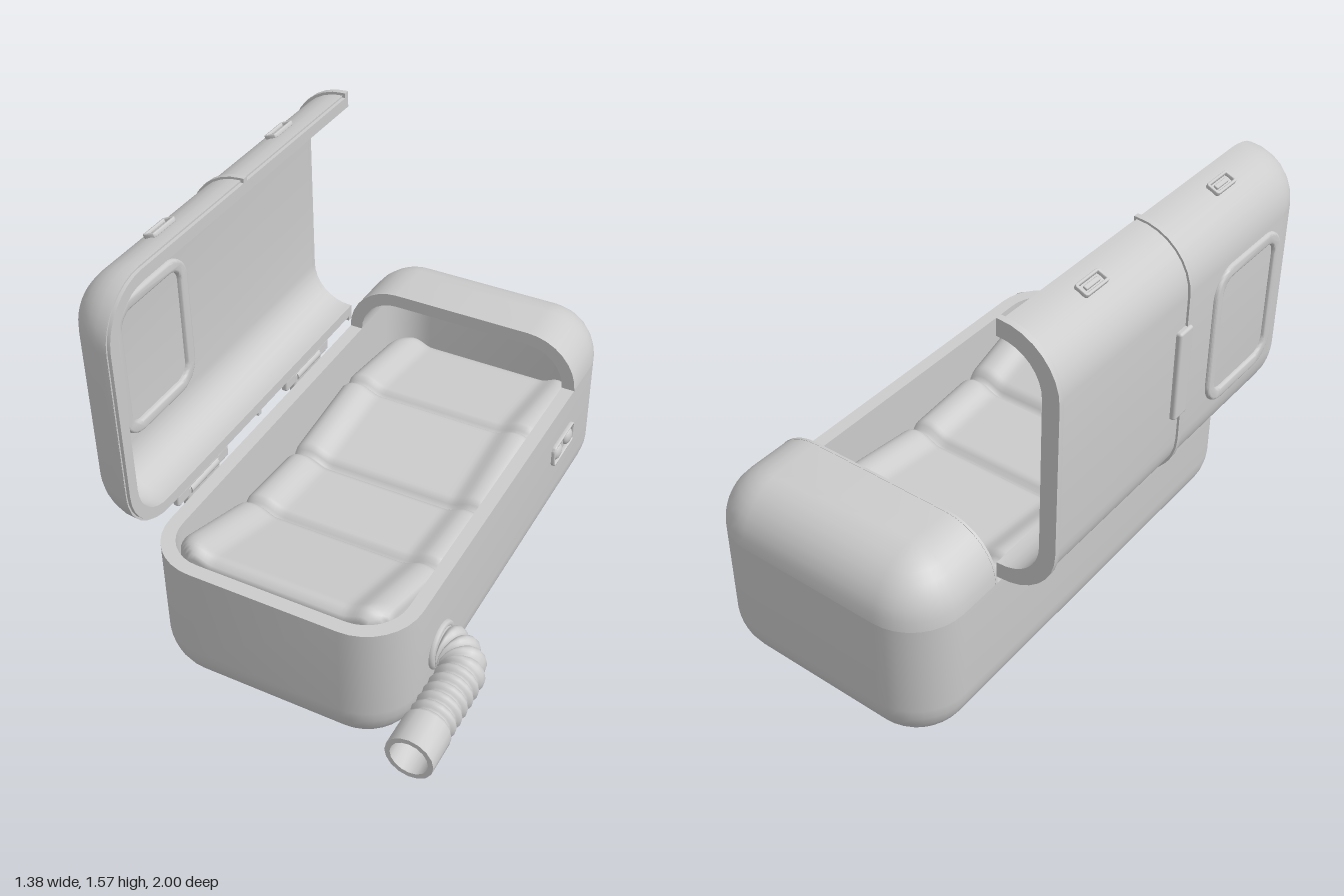
import * as THREE from 'three';
import { toCreasedNormals } from 'three/addons/utils/BufferGeometryUtils.js';
import { RoundedBoxGeometry } from 'three/addons/geometries/RoundedBoxGeometry.js';

const mat = new THREE.MeshStandardMaterial({ color: 0xcccccc });
const matTwo = new THREE.MeshStandardMaterial({ color: 0xcccccc, side: THREE.DoubleSide });
const N = 8, R = 0.2, WALL = 0.05, SPLIT = -0.63;

function add(parent, name, geo, x = 0, y = 0, z = 0, m = mat) {
  const mesh = new THREE.Mesh(geo, m);
  mesh.name = name;
  mesh.position.set(x, y, z);
  parent.add(mesh);
  return mesh;
}

// Plan outline at a given inset: a U around the +z end, or a full rounded rectangle
function outline(hx, z0, z1, d, closed) {
  const r = Math.max(R - d, 0), x = hx - d - r, pts = [];
  const corner = (cx, cz, a0) => {
    for (let i = 0; i <= N; i++) {
      const a = a0 + (i / N) * Math.PI / 2;
      pts.push([cx + r * Math.cos(a), cz + r * Math.sin(a)]);
    }
  };
  if (!closed) pts.push([hx - d, z0]);
  corner(x, z1 - d - r, 0);
  corner(-x, z1 - d - r, Math.PI / 2);
  if (closed) {
    corner(-x, z0 + d + r, Math.PI);
    corner(x, z0 + d + r, 1.5 * Math.PI);
    pts.push(pts[0]);
  } else pts.push([-(hx - d), z0]);
  return pts;
}

// Skin over layers of [inset, y, collapseToCentreLine]
function layered(hx, z0, z1, layers, closed) {
  const pos = [], idx = [];
  let n = 0;
  layers.forEach(([d, y, fill]) => {
    const ring = outline(hx, z0, z1, d, closed);
    n = ring.length;
    ring.forEach(([x, z]) => pos.push(fill ? 0 : x, y, z));
  });
  for (let i = 0; i < layers.length - 1; i++)
    for (let j = 0; j < n - 1; j++) {
      const a = i * n + j, b = a + 1, c = b + n, e = a + n;
      idx.push(a, b, c, a, c, e);
    }
  const g = new THREE.BufferGeometry();
  g.setAttribute('position', new THREE.Float32BufferAttribute(pos, 3));
  g.setIndex(idx);
  return toCreasedNormals(g, 0.6);
}

// Domed half shell, open at z0, rounded at z1
function dome(hx, h, z0, z1, lip) {
  const outer = [[R, h, true]], inner = [];
  for (let i = 0; i <= N; i++) {
    const a = (i / N) * Math.PI / 2, r = R - WALL;
    outer.push([R * (1 - Math.sin(a)), h - R + R * Math.cos(a)]);
    inner.unshift([R - r * Math.sin(a), h - R + r * Math.cos(a)]);
  }
  if (lip) outer.push([0, 0.012], [lip, 0.012], [lip, 0]);
  return layered(hx, z0, z1, [...outer, [WALL, 0], ...inner, [R, h - WALL, true]], false);
}

// Arch-shaped band following the dome's cross-section
function archBand(hx, h, grow, wall, depth) {
  const arch = (o) => {
    const pts = [new THREE.Vector2(hx + o, 0)];
    for (const s of [1, -1])
      for (let i = 0; i <= N; i++) {
        const a = (s > 0 ? i : N - i) / N * Math.PI / 2;
        pts.push(new THREE.Vector2(s * (hx - R + (R + o) * Math.cos(a)), h - R + (R + o) * Math.sin(a)));
      }
    pts.push(new THREE.Vector2(-hx - o, 0));
    return pts;
  };
  const shape = new THREE.Shape([...arch(grow), ...arch(-wall).reverse()]);
  return toCreasedNormals(new THREE.ExtrudeGeometry(shape, { depth, bevelEnabled: false }), 0.6);
}

// Rounded rectangular frame lying flat, thickness along y
function frame(w, l, r, bar, depth, bevel) {
  const trace = (p, w, l, r) => {
    p.moveTo(w, l - r);
    [[1, 1], [-1, 1], [-1, -1], [1, -1]].forEach(([sx, sy], i) =>
      p.absarc(sx * (w - r), sy * (l - r), r, i * Math.PI / 2, (i + 1) * Math.PI / 2));
    return p;
  };
  const shape = trace(new THREE.Shape(), w - bevel, l - bevel, r);
  shape.holes.push(trace(new THREE.Path(), w - bar + bevel, l - bar + bevel, Math.max(r - bar * 0.6, 0.003)));
  const g = new THREE.ExtrudeGeometry(shape, {
    depth: depth - 2 * bevel, bevelThickness: bevel, bevelSize: bevel, bevelSegments: 3, curveSegments: 6 });
  g.translate(0, 0, bevel).rotateX(-Math.PI / 2);
  return toCreasedNormals(g, 0.6);
}

// Contoured mattress: reclined height curve, side bolsters, seams and rounded edges
function mattress() {
  const z0 = -0.93, z1 = 0.79, hx = 0.41;
  const g = new THREE.PlaneGeometry(2 * hx, z1 - z0, 56, 150).rotateX(-Math.PI / 2);
  g.translate(0, 0, (z0 + z1) / 2);
  const keys = [[-0.93, 0.39], [-0.45, 0.46], [-0.02, 0.41], [0.33, 0.44], [0.74, 0.58], [0.8, 0.58]];
  const seams = [-0.45, -0.02, 0.33];
  const p = g.attributes.position;
  for (let i = 0; i < p.count; i++) {
    const x = p.getX(i), z = p.getZ(i), rc = 0.12;
    const k = Math.max(1, keys.findIndex(([kz]) => kz >= z));
    const [[za, ya], [zb, yb]] = [keys[k - 1], keys[k]];
    let y = ya + (yb - ya) * (z - za) / (zb - za);
    y -= 0.03 * (1 - THREE.MathUtils.smoothstep(Math.abs(x), 0.24, 0.33));
    for (const s of seams) y -= 0.035 * Math.max(0, 1 - Math.abs(z - s) / 0.04) ** 2;
    const qx = Math.abs(x) - hx + rc, qz = Math.abs(z - (z0 + z1) / 2) - (z1 - z0) / 2 + rc;
    const d = rc - Math.hypot(Math.max(qx, 0), Math.max(qz, 0)) - Math.min(Math.max(qx, qz), 0);
    const e = 1 - THREE.MathUtils.clamp(d / 0.07, 0, 1);
    y -= 0.07 * (1 - Math.sqrt(1 - e * e));
    p.setY(i, d < 0.001 ? 0.28 : y);
  }
  g.computeVertexNormals();
  return g;
}

export function createModel() {
  const model = new THREE.Group();

  // Tub, hood and mattress
  const pod = new THREE.Group();
  pod.name = 'pod';
  pod.position.x = 0.01;
  model.add(pod);
  const tub = [[R, 0.3, true], [R, 0.3], [WALL, 0.3], [WALL, 0.56], [0, 0.56]];
  for (let i = 0; i <= N; i++) {
    const a = (i / N) * Math.PI / 2;
    tub.push([R * (1 - Math.cos(a)), R - R * Math.sin(a)]);
  }
  tub.push([R, 0, true]);
  add(pod, 'tub', layered(0.475, -1, 0.86, tub, true));
  add(pod, 'hood', dome(0.475, 0.2, -SPLIT, 1).rotateY(Math.PI), 0, 0.56);
  add(pod, 'hoodRim', archBand(0.475, 0.2, 0.001, WALL, 0.01), 0, 0.56, SPLIT - 0.009);
  add(pod, 'mattress', mattress(), 0, 0, 0, matTwo);

  // Open lid, standing on its long edge
  const lid = new THREE.Group();
  lid.name = 'lid';
  lid.position.set(-0.465, 1.083, 0);
  lid.rotation.z = Math.PI / 2;
  model.add(lid);
  const W = 0.48, H = 0.21;
  add(lid, 'lidShell', dome(W, H, SPLIT, 0.86, 0.008));
  add(lid, 'lidEndBand', archBand(W, H, 0.01, WALL, 0.022), 0, 0, SPLIT - 0.004);
  add(lid, 'lidSeamBand', archBand(W, H, 0.008, 0.01, 0.02), 0, 0, 0.06);
  add(lid, 'lidHandle', new RoundedBoxGeometry(0.34, 0.03, 0.075, 2, 0.01), 0, 0.214, 0.045);
  add(lid, 'windowFrame', frame(0.265, 0.21, 0.09, 0.045, 0.08, 0.01), 0, 0.143, 0.44);
  for (const z of [-0.3, 0.43]) {
    const latch = new THREE.Group();
    latch.name = 'latch';
    latch.position.set(0.464, 0.09, z);
    latch.rotation.z = 0.41 - Math.PI / 2;
    lid.add(latch);
    add(latch, 'latchFrame', frame(0.026, 0.06, 0.008, 0.01, 0.016, 0.003), 0, -0.004);
    add(latch, 'latchKey', new RoundedBoxGeometry(0.016, 0.014, 0.07, 1, 0.003));
  }

  // Hinges along the side
  for (const z of [0.44, -0.29]) {
    const hinge = new THREE.Group();
    hinge.name = 'hinge';
    hinge.position.set(-0.482, 0, z);
    model.add(hinge);
    add(hinge, 'hingeLeaf', new RoundedBoxGeometry(0.026, 0.05, 0.32, 2, 0.008), 0, 0.585);
    add(hinge, 'hingePlate', new RoundedBoxGeometry(0.03, 0.1, 0.2, 2, 0.01), 0, 0.55);
    add(hinge, 'hingePin', new THREE.CylinderGeometry(0.018, 0.018, 0.17, 12).rotateX(Math.PI / 2), 0.004, 0.583);
  }

  // Control panel with two buttons
  const panel = new THREE.Group();
  panel.name = 'controlPanel';
  panel.position.set(0.485, 0.377, -0.535);
  model.add(panel);
  add(panel, 'panelFrame', frame(0.046, 0.1, 0.02, 0.01, 0.02, 0.004).rotateZ(-Math.PI / 2), -0.006);
  for (const z of [-0.052, 0.052])
    add(panel, 'button', new THREE.SphereGeometry(0.034, 16, 10).scale(0.6, 1, 1), 0, 0, z);

  // Ribbed hose with an open cuff
  const path = new THREE.CurvePath();
  const v = (x, z) => new THREE.Vector3(x, 0.288, z);
  path.add(new THREE.LineCurve3(v(0.46, 0.525), v(0.5, 0.525)));
  path.add(new THREE.CubicBezierCurve3(v(0.5, 0.525), v(0.558, 0.525), v(0.605, 0.572), v(0.605, 0.63)));
  path.add(new THREE.LineCurve3(v(0.605, 0.63), v(0.605, 0.89)));
  const ribs = 11, steps = ribs * 8, sides = 16;
  const hose = new THREE.TubeGeometry(path, steps, 0.066, sides);
  const p = hose.attributes.position, n = hose.attributes.normal;
  for (let i = 0; i < p.count; i++) {
    const k = 0.015 * Math.abs(Math.sin(Math.floor(i / (sides + 1)) / steps * ribs * Math.PI));
    p.setXYZ(i, p.getX(i) + n.getX(i) * k, p.getY(i) + n.getY(i) * k, p.getZ(i) + n.getZ(i) * k);
  }
  hose.computeVertexNormals();
  add(model, 'hose', hose, 0, 0, 0, matTwo);
  add(model, 'hoseCollar', new THREE.TorusGeometry(0.075, 0.014, 8, 24).rotateY(Math.PI / 2), 0.488, 0.288, 0.525);
  const cuff = [[0.066, 0], [0.084, 0], [0.084, 0.13], [0.066, 0.13], [0.066, 0]].map(([x, y]) => new THREE.Vector2(x, y));
  add(model, 'hoseCuff', toCreasedNormals(new THREE.LatheGeometry(cuff, 16).rotateX(Math.PI / 2), 0.6), 0.605, 0.288, 0.87, matTwo);

  return model;
}
